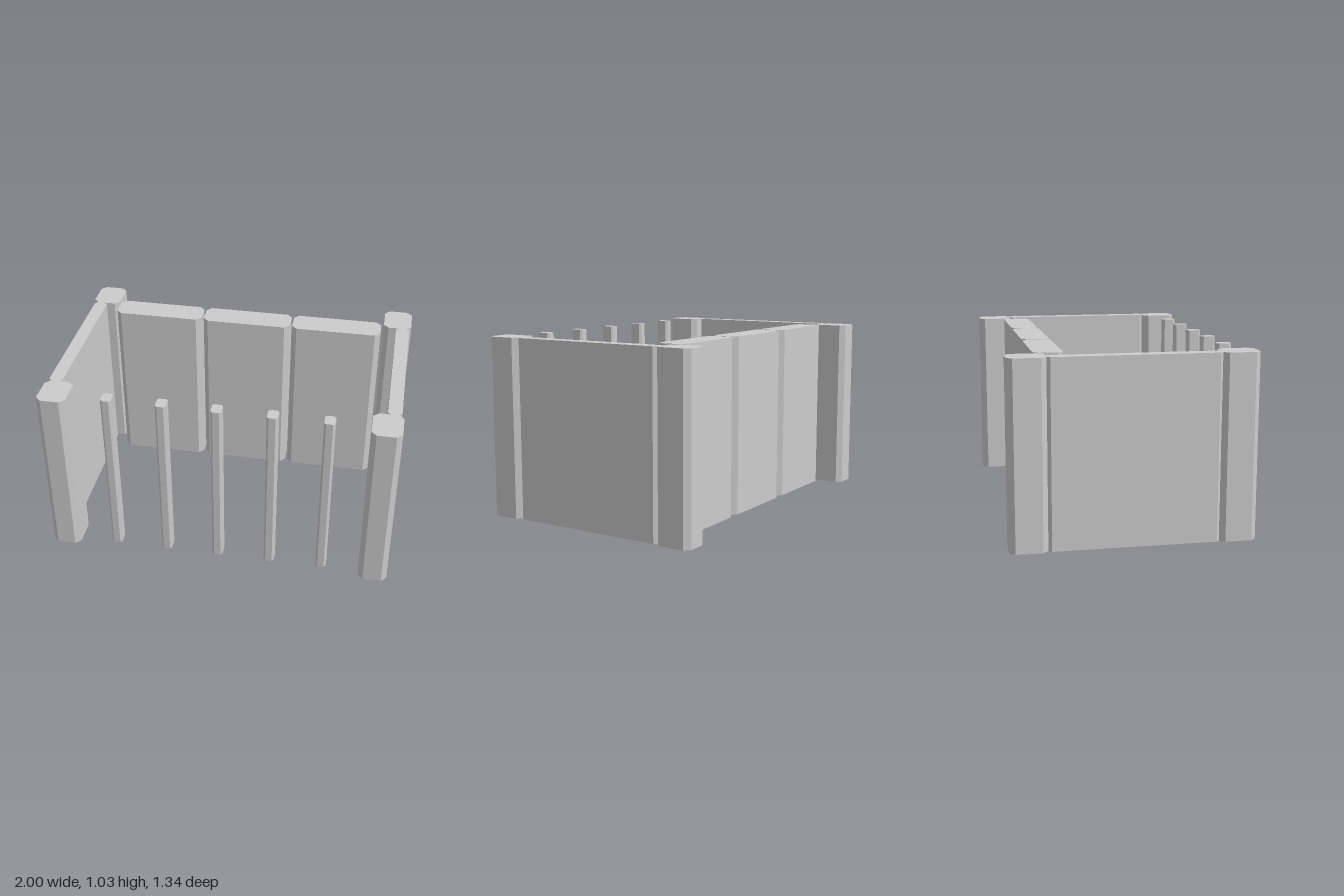
import * as THREE from 'three';

const HEIGHT = 1.027;
const material = new THREE.MeshStandardMaterial({ color: 0xcccccc, flatShading: true });

// Upright block whose rectangular footprint has chamfered corners
function block(name, x, z, width, depth, chamfer) {
  const w = width / 2, d = depth / 2, c = chamfer;
  const outline = [
    [w - c, -d], [w, c - d], [w, d - c], [w - c, d],
    [c - w, d], [-w, d - c], [-w, c - d], [c - w, -d],
  ].map(([px, py]) => new THREE.Vector2(px, py));
  const geometry = new THREE.ExtrudeGeometry(new THREE.Shape(outline), {
    depth: HEIGHT, bevelEnabled: false,
  });
  geometry.rotateX(-Math.PI / 2);
  const mesh = new THREE.Mesh(geometry, material);
  mesh.name = name;
  mesh.position.set(x, 0, z);
  return mesh;
}

export function createModel() {
  const model = new THREE.Group();
  model.name = 'cell';

  for (const [side, s] of [['left', 1], ['right', -1]]) {
    // Corner pillars
    model.add(block(`${side}FrontPillar`, s * 0.917, 0.564, 0.166, 0.206, 0.03));
    model.add(block(`${side}BackPillar`, s * 0.917, -0.567, 0.166, 0.206, 0.03));
    // Thin side wall between the pillars
    model.add(block(`${side}Wall`, s * 0.949, 0, 0.078, 0.944, 0.025));
  }

  // Three thick slabs forming the back wall
  for (let i = -1; i <= 1; i++) {
    model.add(block(`backSlab${i + 2}`, i * 0.552 - 0.002, -0.434, 0.537, 0.162, 0.03));
  }

  // Row of slender bars across the front
  for (let i = -2; i <= 2; i++) {
    model.add(block(`frontBar${i + 3}`, i * 0.3075 - 0.002, 0.572, 0.06, 0.08, 0.011));
  }

  return model;
}
